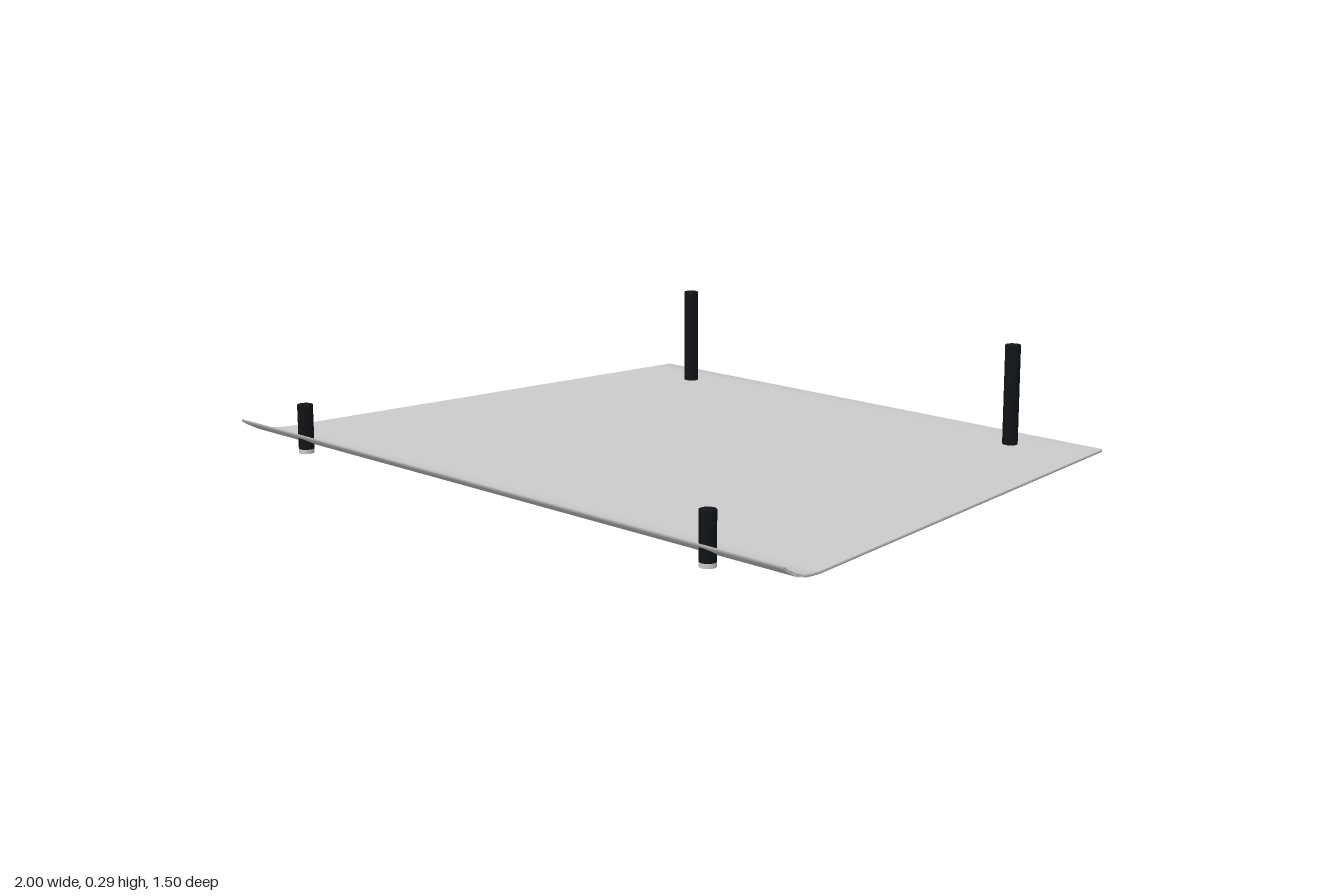
import * as THREE from 'three';

const grey = new THREE.MeshStandardMaterial({ color: 0xcccccc });
const black = new THREE.MeshStandardMaterial({ color: 0x111418 });

// Thin tapered sheet with a curled front lip, lofted from four-corner sections
function sheetGeometry() {
  // [z, height of the upper face]
  const profile = [
    [-0.75, 0.016], [-0.69, 0.016], [0.61, 0.016], [0.64, 0.018],
    [0.67, 0.022], [0.7, 0.03], [0.725, 0.043], [0.75, 0.058],
  ];
  const thickness = 0.008;
  const positions = [];
  const index = [];
  for (const [z, y] of profile) {
    const half = 0.907 + z * 0.124;
    positions.push(-half, y, z, half, y, z, half, y - thickness, z, -half, y - thickness, z);
  }
  for (let i = 0; i < profile.length - 1; i++) {
    for (let k = 0; k < 4; k++) {
      const a = i * 4 + k, b = i * 4 + (k + 1) % 4;
      index.push(a, a + 4, b, b, a + 4, b + 4);
    }
  }
  // Back and front edges
  const e = (profile.length - 1) * 4;
  index.push(0, 1, 2, 0, 2, 3, e, e + 2, e + 1, e, e + 3, e + 2);
  const geometry = new THREE.BufferGeometry();
  geometry.setAttribute('position', new THREE.Float32BufferAttribute(positions, 3));
  geometry.setIndex(index);
  geometry.computeVertexNormals();
  return geometry;
}

// Black pin standing on a short grey foot
function pin(name, x, z, height) {
  const group = new THREE.Group();
  group.name = name;
  const footHeight = 0.012, radius = 0.021;
  const addCylinder = (part, bottom, top, material) => {
    const mesh = new THREE.Mesh(new THREE.CylinderGeometry(radius, radius, top - bottom, 20), material);
    mesh.name = part;
    mesh.position.y = (bottom + top) / 2;
    group.add(mesh);
  };
  addCylinder('pinFoot', 0, footHeight, grey);
  addCylinder('pinShaft', footHeight, height, black);
  group.position.set(x, 0, z);
  return group;
}

export function createModel() {
  const model = new THREE.Group();
  model.name = 'sheetWithPins';

  const sheet = new THREE.Mesh(sheetGeometry(), grey);
  sheet.name = 'curvedSheet';
  model.add(sheet);

  model.add(
    pin('frontRightPin', -0.75, 0.717, 0.133),
    pin('frontLeftPin', 0.75, 0.725, 0.133),
    pin('backRightPin', -0.6, -0.627, 0.29),
    pin('backLeftPin', 0.6, -0.627, 0.29),
  );
  return model;
}
